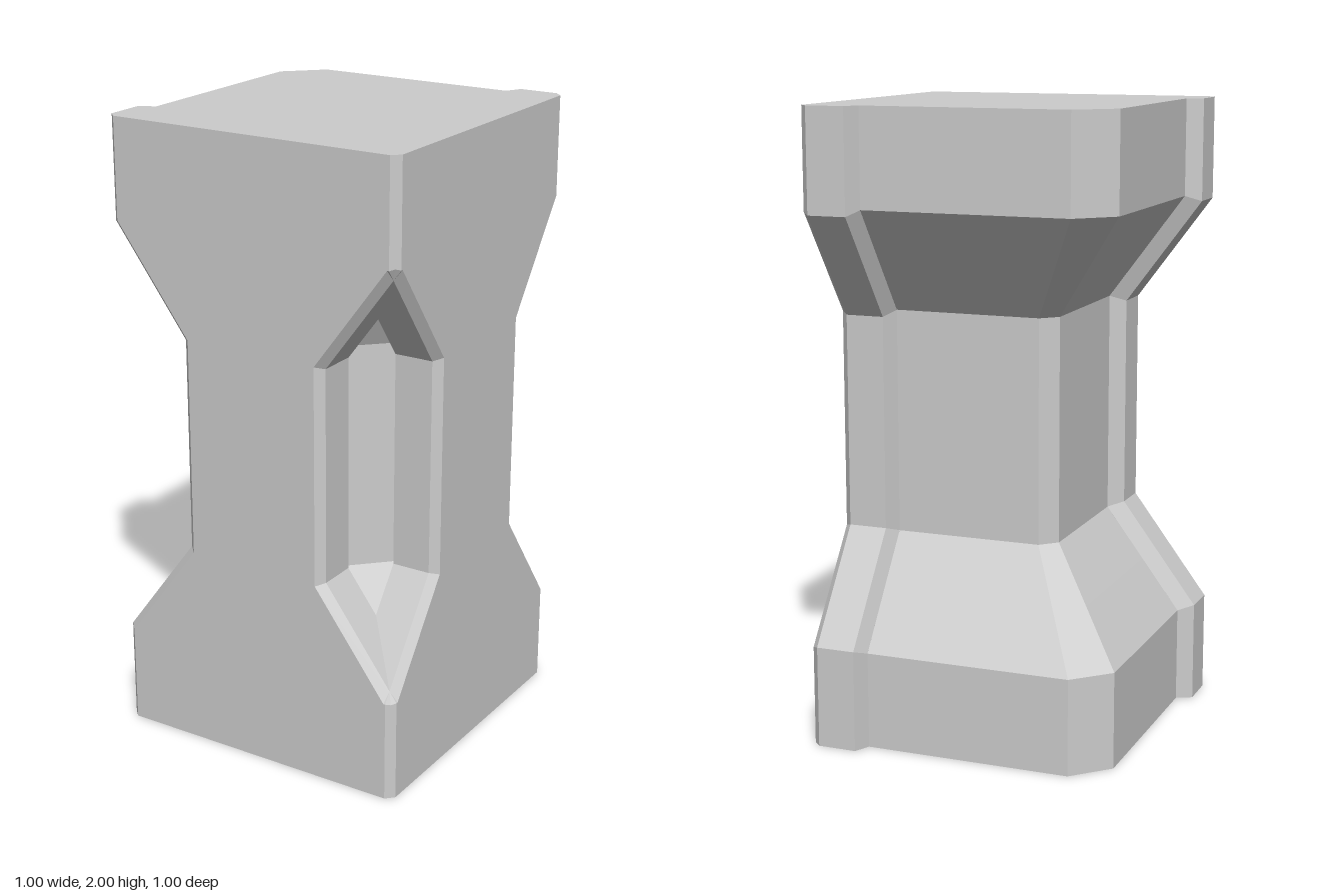
import * as THREE from 'three';

const material = new THREE.MeshStandardMaterial({ color: 0xcccccc, flatShading: true });

// Joins counter-clockwise 2D rings, stacked along a third axis, into a closed faceted solid.
function loft(layers, place) {
  const pos = [];
  const index = [];
  const n = layers[0].ring.length;
  layers.forEach(({ ring, level }) => ring.forEach(([u, v]) => pos.push(...place(u, v, level))));
  for (let k = 0; k < layers.length - 1; k++) {
    for (let i = 0; i < n; i++) {
      const a = k * n + i;
      const b = k * n + (i + 1) % n;
      index.push(a, b, b + n, a, b + n, a + n);
    }
  }
  const cap = ({ ring }) => THREE.ShapeUtils.triangulateShape(ring.map(([u, v]) => new THREE.Vector2(u, v)), []);
  const top = (layers.length - 1) * n;
  cap(layers[0]).forEach(([a, b, c]) => index.push(a, c, b));
  cap(layers[layers.length - 1]).forEach(([a, b, c]) => index.push(top + a, top + b, top + c));
  const indexed = new THREE.BufferGeometry();
  indexed.setAttribute('position', new THREE.Float32BufferAttribute(pos, 3));
  indexed.setIndex(index);
  const geometry = indexed.toNonIndexed();
  geometry.computeVertexNormals();
  return geometry;
}

// Hourglass outline of a facing slab, its sides moved inwards by d.
function hourglass(d) {
  const foot = 0.325 - d / 3;
  const waist = 0.66 - d / 3;
  const right = [
    [0.5 - d, 0], [0.5 - d, foot], [0.25 - d, waist],
    [0.25 - d, 2 - waist], [0.5 - d, 2 - foot], [0.5 - d, 2],
  ];
  return [...right, ...right.map(([x, y]) => [-x, y]).reverse()];
}

// Core cross-section reaching out to a, with cut back-left and front-right corners.
function coreRing(a) {
  const inner = 0.325;
  const cut = 0.05 + (a - 0.2) * 0.24;
  const m = Math.min(a, inner);
  return [
    [-a, a - cut], [-a, -inner], [m, -inner],
    [inner, -m], [inner, a], [-a + cut, a],
  ];
}

export function createModel() {
  const group = new THREE.Group();
  const add = (geometry, name) => {
    const mesh = new THREE.Mesh(geometry, material);
    mesh.name = name;
    group.add(mesh);
    return mesh;
  };

  // Two bevelled slabs, facing front and the +x side
  const slab = loft(
    [[0.05, 0.325], [0, 0.35], [0, 0.475], [0.025, 0.5]]
      .map(([d, level]) => ({ ring: hourglass(d), level })),
    (x, y, z) => [x, y, z],
  );
  add(slab, 'frontSlab');
  add(slab, 'sideSlab').rotation.y = Math.PI / 2;

  // Recessed core, narrowing at the waist
  const lower = [[0.45, 0], [0.45, 0.308], [0.325, 0.476], [0.2, 0.643]];
  const upper = lower.map(([a, y]) => [a, 2 - y]).reverse();
  add(loft(
    [...lower, ...upper].map(([a, level]) => ({ ring: coreRing(a), level })),
    (u, v, level) => [u, level, -v],
  ), 'core');

  return group;
}
